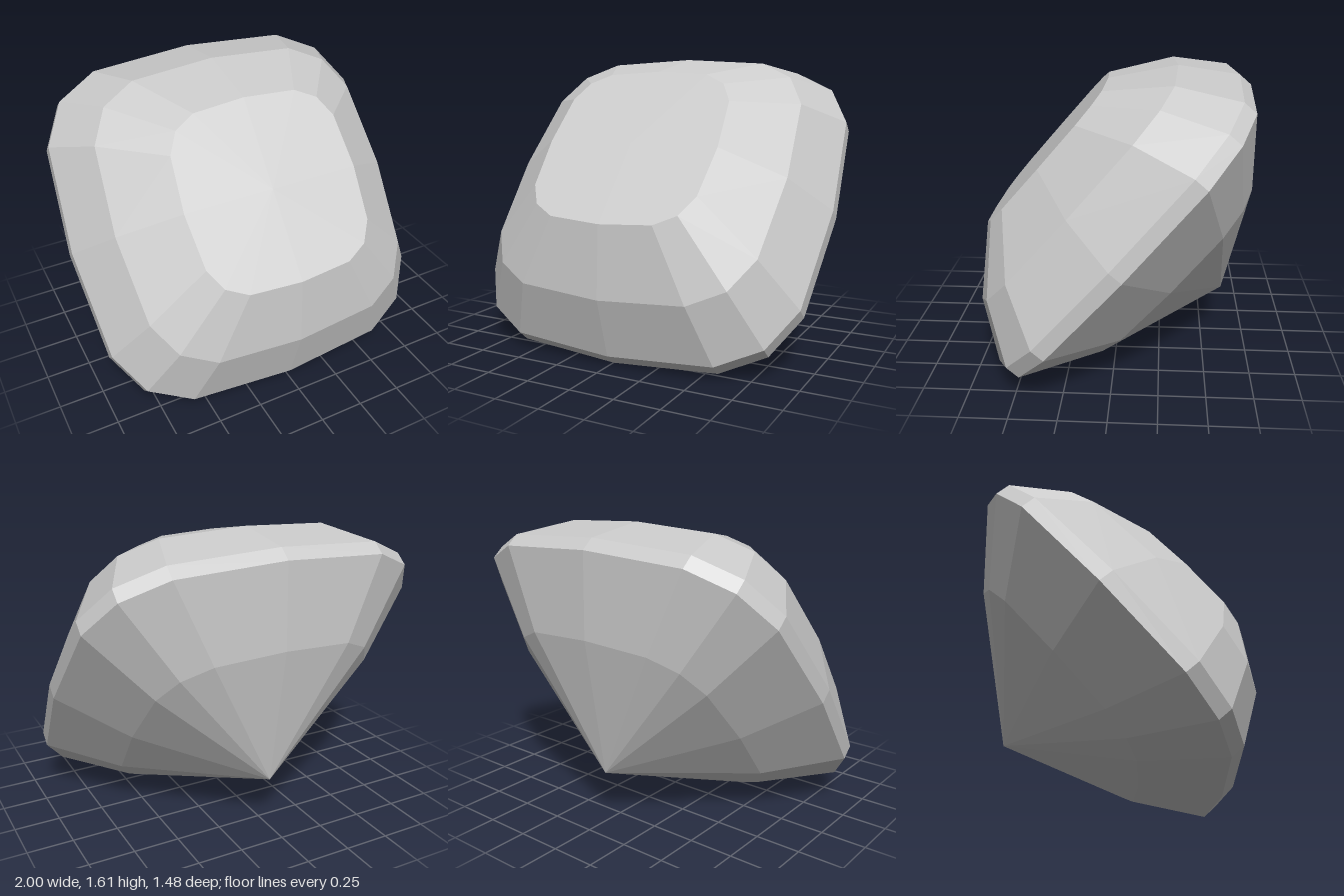
import * as THREE from 'three';

// One eighth-symmetric cushion outline, 16 corners, starting at +z and turning to +x
const quarter = [[0, 1], [0.592, 0.956], [0.826, 0.826], [0.956, 0.592]];
const outline = [];
for (let q = 0; q < 4; q++) {
  for (const [x, z] of quarter) {
    const c = [1, 0, -1, 0][q], s = [0, 1, 0, -1][q];
    outline.push([x * c + z * s, z * c - x * s]);
  }
}

// Sweeps a [scale, height] profile (bottom to top) around the cushion outline
function facetedBand(name, profile, material) {
  const n = profile.length;
  const geometry = new THREE.LatheGeometry(profile.map(([r, h]) => new THREE.Vector2(r, h)), 16);
  const pos = geometry.attributes.position;
  for (let i = 0; i < pos.count; i++) {
    const [x, z] = outline[Math.floor(i / n) % 16];
    const [r, h] = profile[i % n];
    pos.setXYZ(i, x * r, h, z * r);
  }
  const flat = geometry.toNonIndexed();
  flat.computeVertexNormals();
  const mesh = new THREE.Mesh(flat, material);
  mesh.name = name;
  return mesh;
}

export function createModel() {
  const material = new THREE.MeshStandardMaterial({ color: 0xcccccc, flatShading: true });
  const model = new THREE.Group();
  model.name = 'gem';

  const stone = new THREE.Group();
  stone.name = 'stone';
  stone.add(
    // Pointed underside
    facetedBand('pavilion', [[0, -0.717], [0.663, -0.307], [1, 0]], material),
    // Thin upright rim
    facetedBand('girdle', [[1, 0], [1, 0.083]], material),
    // Two rows of sloping facets
    facetedBand('crown', [[1, 0.083], [0.816, 0.37], [0.507, 0.611]], material),
    // Flat top
    facetedBand('table', [[0.507, 0.611], [0, 0.611]], material),
  );

  // The stone rests on its rim and point, table tilted to the front
  stone.rotation.x = THREE.MathUtils.degToRad(49.05);
  stone.position.set(0, 0.756, -0.072);
  model.add(stone);
  return model;
}
